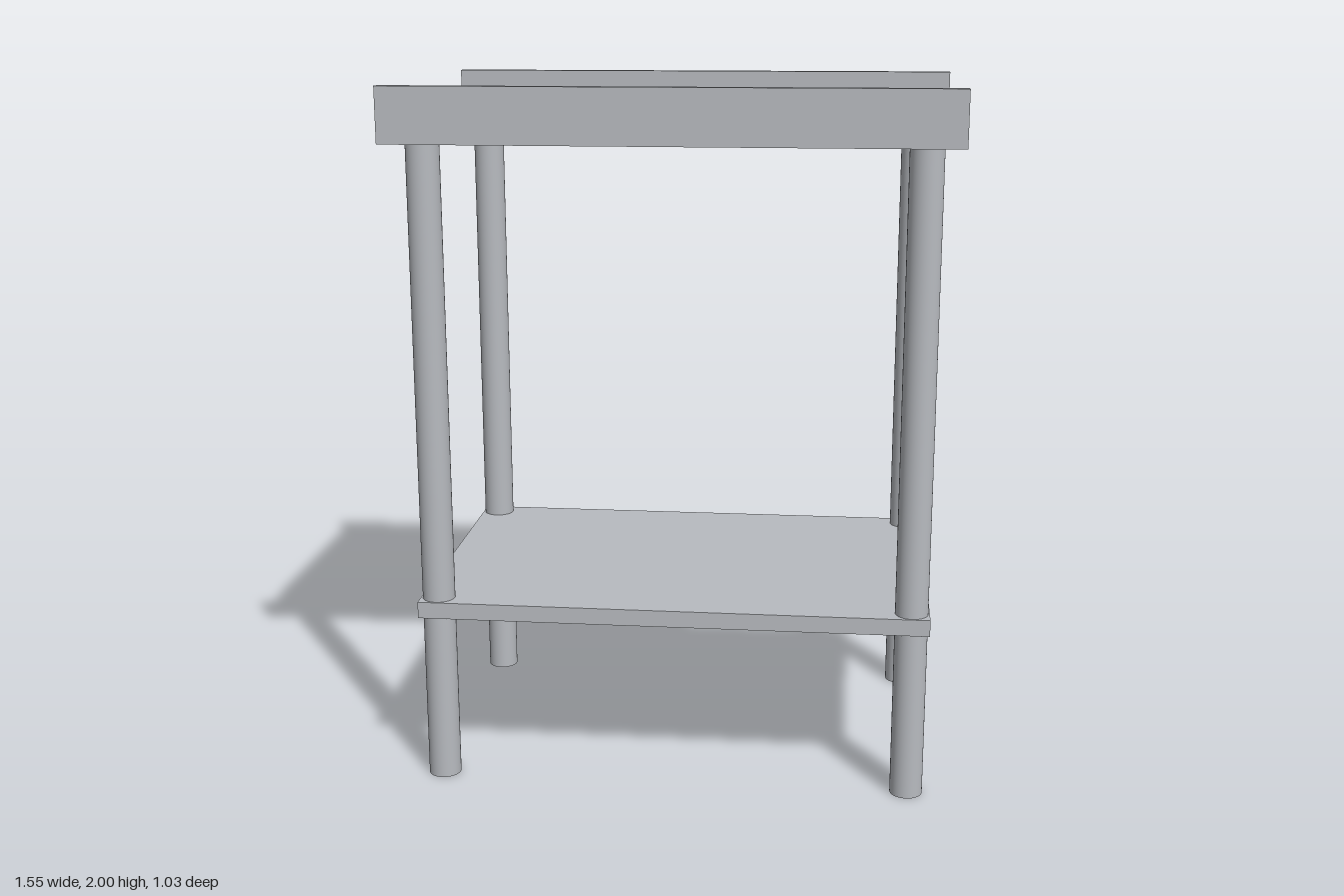
import * as THREE from 'three';

export function createModel() {
  const model = new THREE.Group();
  model.name = 'workTable';
  const steel = new THREE.MeshStandardMaterial({ color: 0xb8bbc0 });
  steel.name = 'brushed steel';

  const add = (name, geometry, x = 0, y = 0, z = 0) => {
    const mesh = new THREE.Mesh(geometry, steel);
    mesh.name = name;
    mesh.position.set(x, y, z);
    model.add(mesh);
  };

  // Table top: a shallow channel section with raised front and back lips
  const width = 1.552, half = 0.517, lip = 0.482;
  const bottom = 1.847, deck = 1.92, top = 2;
  const section = new THREE.Shape([
    [-half, bottom], [half, bottom], [half, top], [lip, top],
    [lip, deck], [-lip, deck], [-lip, top], [-half, top],
  ].map(([z, y]) => new THREE.Vector2(z, y)));
  const topGeometry = new THREE.ExtrudeGeometry(section, { depth: width, bevelEnabled: false });
  topGeometry.translate(0, 0, -width / 2).rotateY(Math.PI / 2);
  add('tableTop', topGeometry);

  // Lower shelf
  add('lowerShelf', new THREE.BoxGeometry(1.456, 0.048, 0.938), 0, 0.521, 0);

  // Four round legs, running through the shelf up to the table top
  const legGeometry = new THREE.CylinderGeometry(0.0465, 0.0465, bottom, 40);
  for (const [xName, sx] of [['Left', 1], ['Right', -1]]) {
    for (const [zName, sz] of [['front', 1], ['back', -1]]) {
      add(`${zName}${xName}Leg`, legGeometry, sx * 0.677, bottom / 2, sz * 0.418);
    }
  }

  return model;
}
